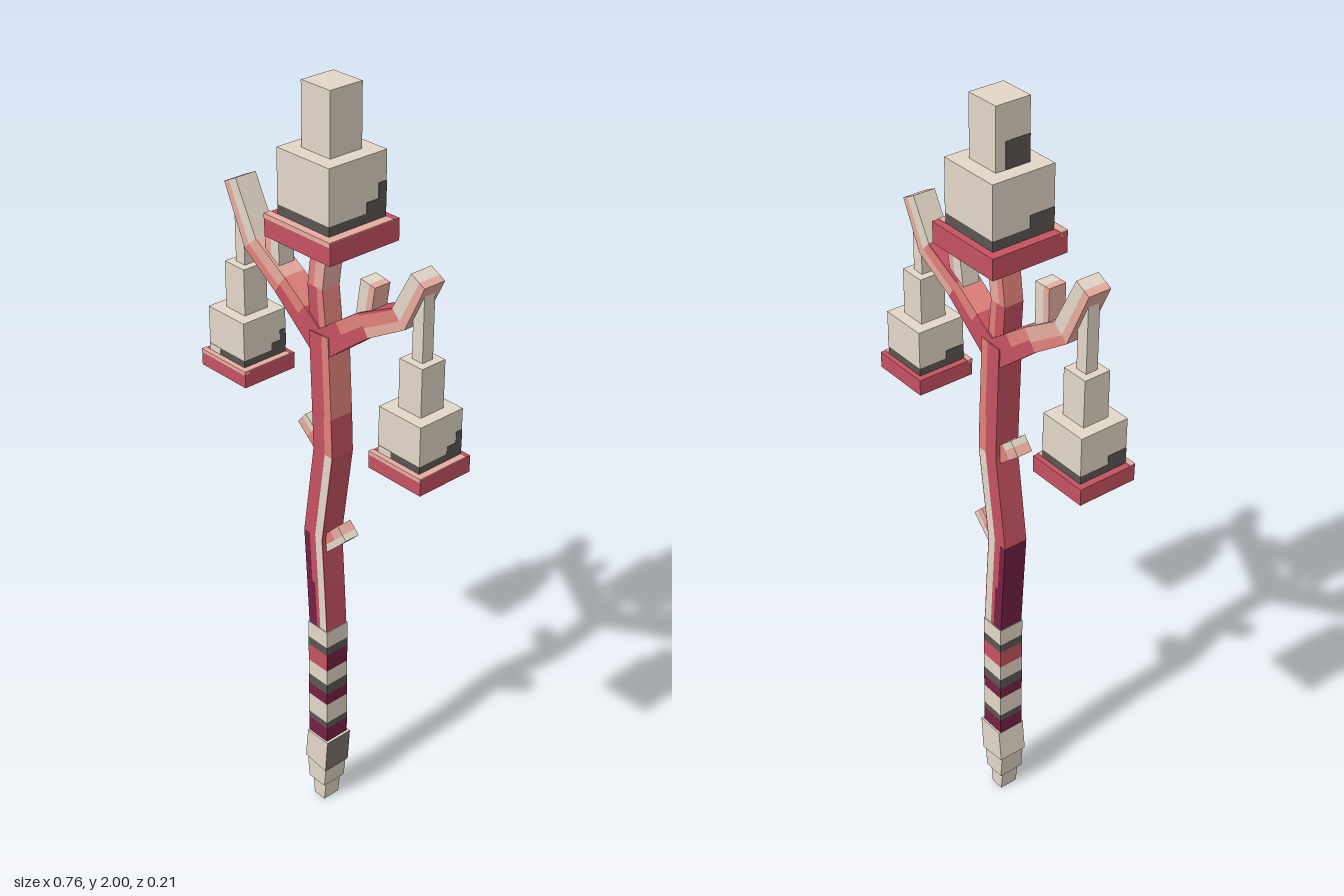
import * as THREE from 'three';

const paint = (name, color) => {
  const m = new THREE.MeshStandardMaterial({ color });
  m.name = name;
  return m;
};

export function createModel() {
  const model = new THREE.Group();
  model.name = 'bellStaff';
  const cream = paint('cream', 0xe3d7c8);
  const red = paint('red', 0xc65261);
  const maroon = paint('maroon', 0x772144);
  const salmon = paint('salmon', 0xe2827a);
  const pink = paint('pale pink', 0xe8aca0);
  const taupe = paint('taupe', 0x7d756a);
  const dark = paint('dark grey', 0x5a5650);

  // Axis-aligned box from x/y/z ranges
  const box = (parent, name, x0, x1, y0, y1, z0, z1, mat) => {
    const mesh = new THREE.Mesh(new THREE.BoxGeometry(x1 - x0, y1 - y0, z1 - z0), mat);
    mesh.position.set((x0 + x1) / 2, (y0 + y1) / 2, (z0 + z1) / 2);
    mesh.name = name;
    parent.add(mesh);
  };

  // Box bent to four corners [bottomLeft, bottomRight, topLeft, topRight] in the xy plane
  const block = (parent, name, c, depth, mat) => {
    const g = new THREE.BoxGeometry(1, 1, depth);
    const p = g.attributes.position;
    for (let i = 0; i < p.count; i++) {
      const [x, y] = c[(p.getX(i) > 0 ? 1 : 0) + (p.getY(i) > 0 ? 2 : 0)];
      p.setXY(i, x, y);
    }
    g.computeVertexNormals();
    const mesh = new THREE.Mesh(g, mat);
    mesh.name = name;
    parent.add(mesh);
  };

  // Mitred square limb along points [x, y, width]; each segment holds strips [share, material]
  const limb = (name, pts, depth, segments) => {
    const group = new THREE.Group();
    group.name = name;
    const dirs = pts.slice(1).map((b, i) =>
      new THREE.Vector2(b[0] - pts[i][0], b[1] - pts[i][1]).normalize());
    const at = (i, f) => {
      const t = dirs[Math.max(0, i - 1)].clone().add(dirs[Math.min(i, dirs.length - 1)]).normalize();
      const s = (f - 0.5) * pts[i][2];
      return [pts[i][0] + t.y * s, pts[i][1] - t.x * s];
    };
    segments.forEach((strips, i) => {
      let f = 0;
      strips.forEach(([share, mat]) => {
        const e = f + share;
        block(group, name + 'Segment', [at(i, f), at(i, e), at(i + 1, f), at(i + 1, e)], depth, mat);
        f = e;
      });
    });
    model.add(group);
  };

  // Stepped foot
  block(model, 'footTip', [[-0.033, 0], [0.005, 0], [-0.04, 0.065], [0.012, 0.06]], 0.05, cream);
  block(model, 'footMiddle', [[-0.044, 0.06], [0.016, 0.06], [-0.05, 0.14], [0.025, 0.14]], 0.07, cream);
  block(model, 'footTop', [[-0.052, 0.13], [0.026, 0.12], [-0.042, 0.222], [0.034, 0.222]], 0.08,
    [taupe, cream, cream, cream, cream, cream]);

  // Wrapped grip: bands listed upward as [top, material]
  let y = 0.22;
  const redBand = [maroon, red, red, red, red, red];
  [[0.265, maroon], [0.285, dark], [0.345, cream], [0.38, maroon], [0.41, dark],
    [0.455, cream], [0.505, redBand], [0.53, dark], [0.578, cream]].forEach(([top, mat]) => {
    box(model, 'gripBand', -0.043, 0.027, y, top, -0.035, 0.035, mat);
    y = top;
  });

  // Trunk, with a pale strip near its left edge and a red flank
  limb('trunk', [[-0.008, 0.575, 0.066], [-0.016, 0.71, 0.066], [-0.025, 0.85, 0.066],
    [0.011, 1.1, 0.066], [0.007, 1.2, 0.066], [-0.003, 1.41, 0.064]], 0.066, [
    [[0.45, maroon], [0.17, red], [0.34, cream], [0.04, red]],
    [[0.3, maroon], [0.32, red], [0.34, cream], [0.04, red]],
    [[0.6, red], [0.36, cream], [0.04, red]],
    [[0.6, red], [0.36, salmon], [0.04, red]],
    [[0.65, red], [0.35, salmon]],
  ]);

  // Main branches and the centre stem
  limb('rightBranch', [[-0.005, 1.38, 0.07], [-0.075, 1.435, 0.065], [-0.14, 1.485, 0.06],
    [-0.243, 1.553, 0.055], [-0.31, 1.69, 0.046]], 0.06, [
    [[1, red]], [[0.5, red], [0.5, salmon]], [[0.4, salmon], [0.6, pink]],
    [[0.4, pink], [0.6, cream]]]);
  limb('leftBranch', [[-0.005, 1.38, 0.07], [0.07, 1.435, 0.065], [0.14, 1.485, 0.06],
    [0.25, 1.543, 0.055], [0.306, 1.652, 0.046]], 0.06, [
    [[1, red]], [[0.5, salmon], [0.5, red]], [[0.1, red], [0.5, salmon], [0.4, pink]],
    [[0.6, cream], [0.4, pink]]]);
  limb('centreStem', [[-0.01, 1.39, 0.055], [-0.022, 1.52, 0.05], [-0.004, 1.65, 0.05]], 0.052, [
    [[0.6, red], [0.4, salmon]], [[0.4, salmon], [0.6, pink]]]);

  // Short twigs
  limb('upperRightTwig', [[-0.172, 1.5, 0.046], [-0.172, 1.635, 0.046]], 0.046, [[[0.4, pink], [0.6, cream]]]);
  limb('upperLeftTwig', [[0.13, 1.48, 0.046], [0.147, 1.588, 0.046]], 0.046, [[[0.6, cream], [0.4, pink]]]);
  limb('lowerRightTwig', [[0.0, 1.09, 0.042], [-0.045, 1.128, 0.042], [-0.077, 1.155, 0.042]], 0.042,
    [[[1, salmon]], [[0.6, pink], [0.4, cream]]]);
  limb('lowerLeftTwig', [[-0.01, 0.82, 0.042], [0.038, 0.865, 0.042], [0.065, 0.892, 0.042]], 0.042,
    [[[0.6, salmon], [0.4, cream]], [[0.6, pink], [0.4, cream]]]);

  // Stepped bell: red rim with pale edges, dark hem, stained body and crown
  const bell = (name, cx, y0, rim, body, crown, hRim, hBody, hCrown, hDark) => {
    const g = new THREE.Group();
    g.name = name;
    const y1 = y0 + hRim, y2 = y1 + hBody, yHem = y1 + hDark;
    box(g, 'rim', -rim, rim, y0, y1, -rim * 0.95, rim * 0.95, red);
    box(g, 'rimFrontEdge', -rim, rim, y1 - hRim * 0.18, y1 + 0.002, body, rim * 0.95 + 0.001, pink);
    box(g, 'rimSideEdge', body, rim, y1, y1 + 0.002, -rim * 0.8, body, pink);
    box(g, 'hem', -body, body, y1, yHem, -body, body, dark);
    box(g, 'body', -body, body, yHem, y2, -body, body, cream);
    box(g, 'leftStain', body, body + 0.001, yHem, y1 + hBody * 0.32, -body, -body * 0.3, dark);
    box(g, 'leftStainTip', body, body + 0.001, y1 + hBody * 0.32, y1 + hBody * 0.55, -body, -body * 0.72, dark);
    box(g, 'rightStain', -body - 0.001, -body, yHem, y1 + hBody * 0.35, body * 0.2, body, dark);
    box(g, 'crown', -crown, crown, y2, y2 + hCrown, -crown, crown, cream);
    g.position.x = cx;
    model.add(g);
    return g;
  };
  const top = bell('topBell', 0.005, 1.64, 0.108, 0.084, 0.046, 0.053, 0.157, 0.15, 0.025);
  box(top, 'crownStain', -0.047, -0.046, 1.85, 1.915, -0.02, 0.046, dark);
  [['rightBell', -0.298, 1.198, 1.66], ['leftBell', 0.297, 1.174, 1.63]].forEach(([name, x, y0, end]) => {
    const small = bell(name, x, y0, 0.082, 0.065, 0.035, 0.042, 0.119, 0.12, 0.02);
    box(small, 'hemFrontPatch', -0.065, -0.025, y0 + 0.042, y0 + 0.062, 0.065, 0.066, cream);
    box(model, name + 'Hanger', x - 0.016, x + 0.016, y0 + 0.28, end, -0.016, 0.016, cream);
  });

  return model;
}
